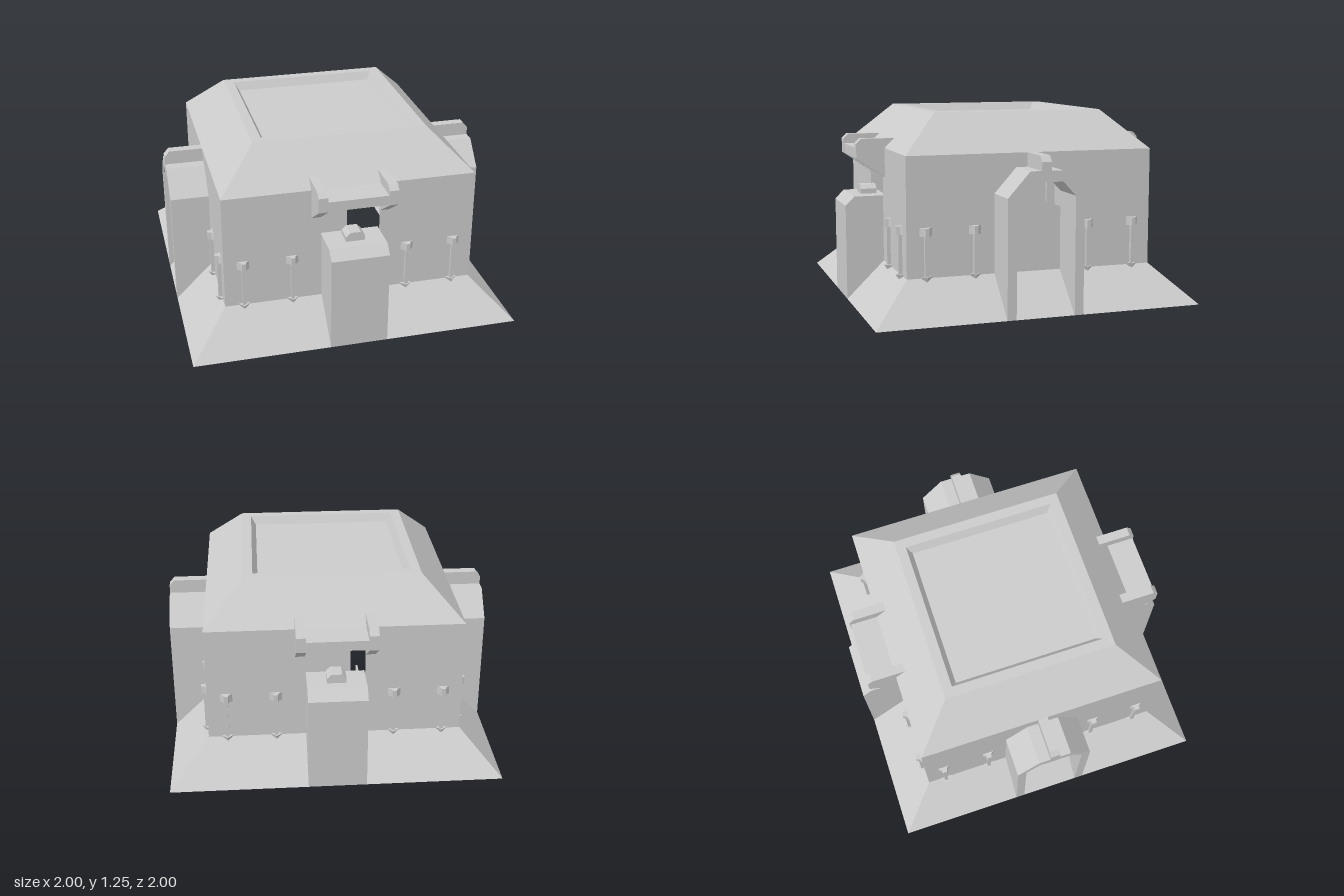
import * as THREE from 'three';

const material = new THREE.MeshStandardMaterial({ color: 0xcccccc, flatShading: true, side: THREE.DoubleSide });
const WALL = 0.765;

function mesh(name, geometry, parent) {
  const m = new THREE.Mesh(geometry, material);
  m.name = name;
  parent.add(m);
  return m;
}

// Box given by its two opposite corners
function box(name, parent, x0, x1, y0, y1, z0, z1) {
  const m = mesh(name, new THREE.BoxGeometry(x1 - x0, y1 - y0, z1 - z0), parent);
  m.position.set((x0 + x1) / 2, (y0 + y1) / 2, (z0 + z1) / 2);
  return m;
}

// Open square band between two half widths and heights
function band(name, parent, half0, y0, half1, y1) {
  const g = new THREE.CylinderGeometry(half1 * Math.SQRT2, half0 * Math.SQRT2, y1 - y0, 4, 1, true);
  g.rotateY(Math.PI / 4).translate(0, (y0 + y1) / 2, 0);
  return mesh(name, g, parent);
}

const toShape = pts => new THREE.Shape(pts.map(p => new THREE.Vector2(...p)));
const toPath = pts => new THREE.Path(pts.map(p => new THREE.Vector2(...p)));
const mirrored = pts => [...pts, ...pts.map(([x, y]) => [-x, y]).reverse()];
const rect = (w, y0, y1) => mirrored([[w, y0], [w, y1]]);
const extrude = (shape, depth) => new THREE.ExtrudeGeometry(shape, { depth, bevelEnabled: false });

// Profile in (z, y), extruded across x from x0 to x1
function sideProfile(name, parent, pts, x0, x1) {
  const g = extrude(toShape(pts.map(([z, y]) => [-z, y])), x1 - x0);
  g.rotateY(Math.PI / 2).translate(x0, 0, 0);
  return mesh(name, g, parent);
}

// Flat wall with one opening, facing +z
function wall(parent, opening) {
  const shape = toShape(rect(WALL, 0.31, 1.02));
  shape.holes.push(toPath(opening));
  mesh('wall', new THREE.ShapeGeometry(shape), parent).position.z = WALL;
}

// Clamps along the foot of a wall
function clamps(parent) {
  const profile = mirrored([[0.037, 0], [0.018, 0.014], [0.012, 0.035]]);
  for (const x of [-0.65, -0.355, 0.355, 0.65]) {
    const clamp = new THREE.Group();
    clamp.name = 'wallClamp';
    clamp.position.set(x, 0, WALL);
    const cap = extrude(toShape(profile), 0.05);
    cap.rotateX(Math.PI / 2).scale(1, 1, 1).translate(0, 0.605, 0);
    mesh('clampCap', cap, clamp);
    box('clampRod', clamp, -0.011, 0.011, 0.31, 0.56, 0, 0.022);
    const foot = new THREE.CylinderGeometry(0.035, 0.01, 0.04, 4);
    foot.translate(0, 0.3, 0.004);
    mesh('clampFoot', foot, clamp);
    parent.add(clamp);
  }
}

// Front and back: buttress, window and hood
function windowSide() {
  const side = new THREE.Group();
  side.name = 'windowSide';
  wall(side, rect(0.178, 0.72, 0.96));
  clamps(side);
  sideProfile('buttress', side,
    [[0.74, 0.08], [1, 0.08], [1, 0.665], [0.945, 0.72], [0.74, 0.72]], -0.175, 0.175);
  box('hoodPlate', side, -0.18, 0.18, 0.96, 1.02, WALL, 0.935);
  for (const x of [-0.237, 0.18]) {
    sideProfile('hoodArm', side,
      [[WALL, 0.84], [0.94, 0.96], [0.94, 1.05], [0.91, 1.08], [0.7, 1.08], [0.7, 1.0]], x, x + 0.057);
  }
  const sill = extrude(toShape(mirrored([[0.057, 0.72], [0.057, 0.75], [0.032, 0.775]])), 0.1);
  mesh('sillBlock', sill, side).position.z = 0.78;
  return side;
}

// Left and right: arched porch with a keystone
function porchSide() {
  const side = new THREE.Group();
  side.name = 'porchSide';
  wall(side, mirrored([[0.1, 0.72], [0.18, 0.69], [0.18, 0.785], [0.1, 0.87]]));
  clamps(side);
  const arch = toShape([
    [0.235, 0.08], [0.235, 0.785], [0.1, 0.935], [-0.1, 0.935], [-0.235, 0.785], [-0.235, 0.08],
    [-0.18, 0.08], [-0.18, 0.785], [-0.1, 0.87], [0.1, 0.87], [0.18, 0.785], [0.18, 0.08],
  ]);
  mesh('porchArch', extrude(arch, 1 - WALL), side).position.z = WALL;
  sideProfile('keystone', side,
    [[WALL, 0.93], [1, 0.93], [1, 0.985], [0.97, 1.02], [WALL, 1.02]], -0.03, 0.03);
  for (const x of [-0.1, 0.1]) {
    box('windowPost', side, x - 0.008, x + 0.008, 0.72, 0.87, WALL - 0.02, WALL);
  }
  return side;
}

export function createModel() {
  const model = new THREE.Group();
  model.name = 'bunker';

  // Shell
  band('skirt', model, 1, 0.08, WALL, 0.31);
  band('roofSlope', model, WALL, 1.02, 0.53, 1.25);
  band('roofRecess', model, 0.44, 1.2, 0.47, 1.25);
  const square = h => [[-h, -h], [h, -h], [h, h], [-h, h]];
  const flat = (name, outer, inner, y) => {
    const shape = toShape(square(outer));
    if (inner) shape.holes.push(toPath(square(inner)));
    mesh(name, new THREE.ShapeGeometry(shape).rotateX(-Math.PI / 2), model).position.y = y;
  };
  flat('roofRim', 0.53, 0.47, 1.25);
  flat('roofDeck', 0.44, 0, 1.2);
  flat('floor', WALL, 0.46, 0.31);

  // Four sides
  for (let i = 0; i < 4; i++) {
    const side = i % 2 ? porchSide() : windowSide();
    side.rotation.y = i * Math.PI / 2;
    model.add(side);
  }

  // Underfloor partitions, repeated by a half turn
  for (let i = 0; i < 2; i++) {
    const half = new THREE.Group();
    half.name = 'underfloorPartition';
    box('longPartition', half, 0.25, 0.262, 0, 0.08, -0.47, 0.235);
    box('shortPartition', half, 0.255, 0.455, 0, 0.08, 0.229, 0.241);
    half.rotation.y = i * Math.PI;
    model.add(half);
  }
  box('middlePartition', model, -0.235, 0.235, 0.02, 0.08, -0.006, 0.006);
  box('innerPillar', model, -0.15, 0.15, 0.08, 0.7, -0.15, 0.15);
  return model;
}
